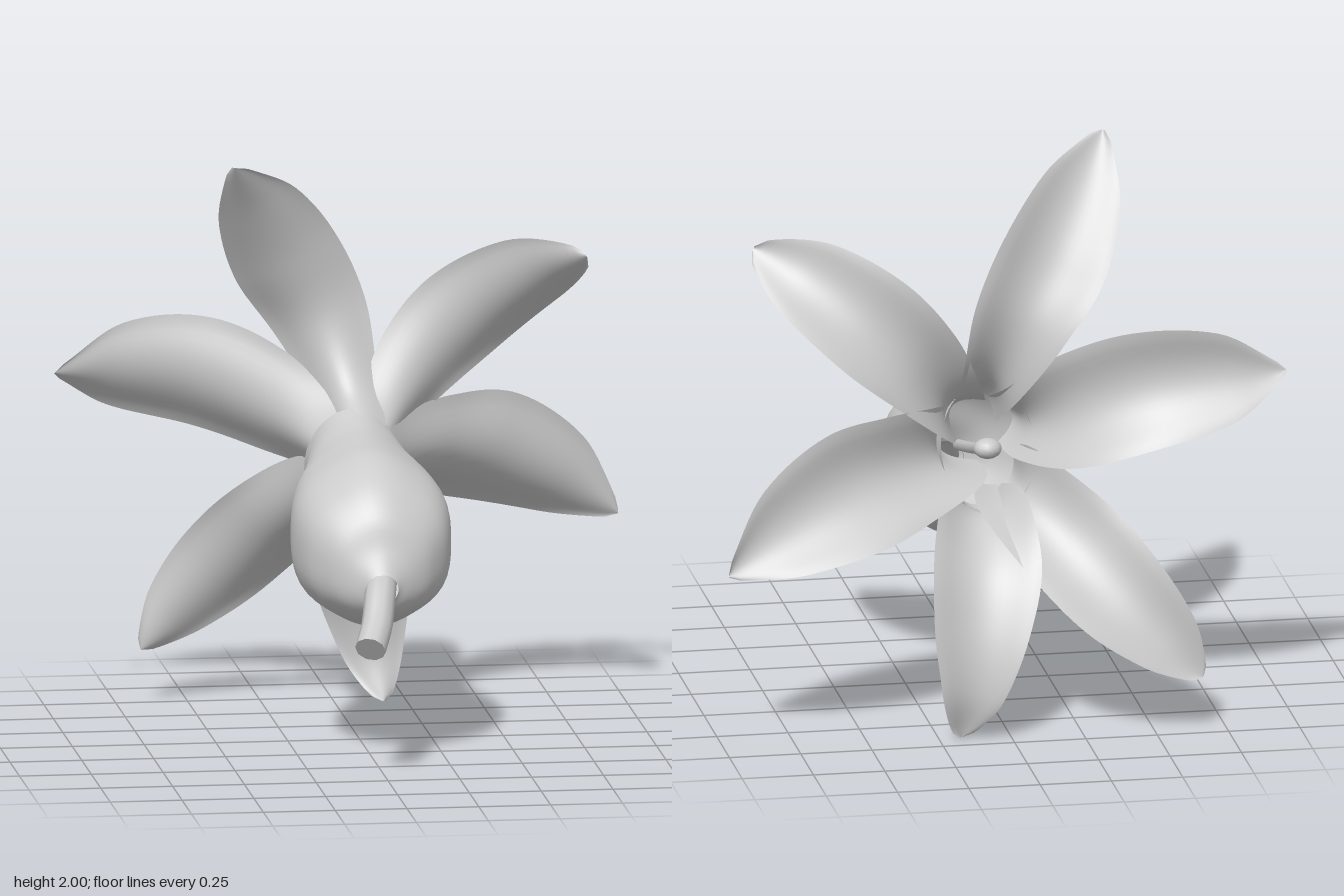
import * as THREE from 'three';

const material = new THREE.MeshStandardMaterial({ color: 0xcccccc, side: THREE.DoubleSide });
const V = (x, y, z) => new THREE.Vector3(x, y, z);
const smooth = (points) => new THREE.CatmullRomCurve3(points, false, 'centripetal');

// Smooth surface through rows x cols points; closed joins the last column to the first
function surface(name, rows, cols, pointAt, closed) {
  const positions = [], index = [];
  const stride = closed ? cols : cols + 1;
  for (let i = 0; i <= rows; i++) {
    for (let j = 0; j < stride; j++) positions.push(...pointAt(i / rows, j / cols).toArray());
  }
  for (let i = 0; i < rows; i++) {
    for (let j = 0; j < cols; j++) {
      const k = closed ? (j + 1) % cols : j + 1;
      const a = i * stride + j, b = i * stride + k;
      index.push(a, b, a + stride, b, b + stride, a + stride);
    }
  }
  const geometry = new THREE.BufferGeometry();
  geometry.setAttribute('position', new THREE.Float32BufferAttribute(positions, 3));
  geometry.setIndex(index);
  geometry.computeVertexNormals();
  const mesh = new THREE.Mesh(geometry, material);
  mesh.name = name;
  return mesh;
}

// Swollen flower tube: [top z, top y, bottom z, bottom y, half width]
const SECTIONS = [
  [0.57, 0.69, 0.57, 0.59, 0.05],
  [0.53, 0.77, 0.54, 0.55, 0.10],
  [0.49, 0.88, 0.48, 0.51, 0.18],
  [0.40, 0.98, 0.38, 0.475, 0.255],
  [0.25, 1.05, 0.22, 0.455, 0.287],
  [0.08, 1.07, 0.05, 0.51, 0.265],
  [-0.05, 1.085, -0.10, 0.61, 0.21],
  [-0.14, 1.11, -0.25, 0.69, 0.175],
  [-0.19, 1.13, -0.38, 0.715, 0.165],
];

function createTube() {
  const top = smooth(SECTIONS.map((s) => V(0.01, s[1], s[0])));
  const bottom = smooth(SECTIONS.map((s) => V(0.01, s[3], s[2])));
  const width = new THREE.SplineCurve(SECTIONS.map((s, i) => new THREE.Vector2(i, s[4])));
  return surface('flowerTube', 40, 48, (u, v) => {
    const a = v * Math.PI * 2;
    const up = top.getPoint(u), down = bottom.getPoint(u);
    const centre = up.clone().add(down).multiplyScalar(0.5);
    // Six soft ridges along the body
    const ridge = 1 + 0.04 * Math.sin(Math.PI * u) * (Math.cos(6 * a) - 1) * 0.5;
    return centre.clone()
      .addScaledVector(up.sub(centre), Math.cos(a) * ridge)
      .add(V(Math.sin(a) * width.getPoint(u).y * ridge, 0, 0));
  }, true);
}

// Petals: midrib from throat to tip, half widths at the same stations, depth of the cup
const PETALS = [
  { name: 'upperPetal', cup: 0.55,
    rib: [[0.0, 1.07, -0.08], [-0.015, 1.18, -0.26], [-0.085, 1.40, -0.355], [-0.2, 1.6, -0.325], [-0.315, 1.81, -0.235], [-0.42, 2.0, -0.115]],
    half: [0.085, 0.105, 0.165, 0.19, 0.15, 0.06] },
  { name: 'upperLeftPetal', cup: 0.55,
    rib: [[0.1, 1.02, -0.08], [0.15, 1.09, -0.24], [0.27, 1.25, -0.345], [0.43, 1.405, -0.355], [0.63, 1.555, -0.28], [0.81, 1.65, -0.155]],
    half: [0.085, 0.11, 0.16, 0.185, 0.155, 0.08] },
  { name: 'leftPetal', cup: 0.6,
    rib: [[0.15, 0.88, -0.08], [0.19, 0.9, -0.27], [0.36, 0.9, -0.45], [0.56, 0.865, -0.56], [0.8, 0.765, -0.64], [0.99, 0.64, -0.69]],
    half: [0.1, 0.15, 0.195, 0.22, 0.165, 0.06] },
  { name: 'lowerLeftPetal', cup: 0.45,
    rib: [[0.05, 0.7, -0.2], [0.06, 0.7, -0.4], [0.075, 0.58, -0.58], [0.11, 0.38, -0.68], [0.14, 0.17, -0.705], [0.17, 0.005, -0.66]],
    half: [0.09, 0.15, 0.19, 0.165, 0.11, 0.06] },
  { name: 'lowerRightPetal', cup: 0.5,
    rib: [[-0.08, 0.77, -0.16], [-0.11, 0.75, -0.37], [-0.25, 0.625, -0.55], [-0.39, 0.475, -0.66], [-0.54, 0.325, -0.71], [-0.665, 0.195, -0.72]],
    half: [0.09, 0.15, 0.185, 0.175, 0.125, 0.06] },
  { name: 'rightPetal', cup: 0.55,
    rib: [[-0.11, 0.98, -0.08], [-0.15, 1.01, -0.26], [-0.28, 1.095, -0.43], [-0.5, 1.18, -0.525], [-0.77, 1.215, -0.54], [-0.995, 1.22, -0.5]],
    half: [0.085, 0.125, 0.195, 0.205, 0.16, 0.05] },
];

const AXIS = V(0, 0.28, -1).normalize();

function createPetal({ name, rib, half, cup }) {
  const curve = smooth(rib.map((p) => V(...p)));
  const widths = new THREE.SplineCurve(half.map((w, i) => new THREE.Vector2(i, w)));
  const across = AXIS.clone().cross(V(...rib[5]).sub(V(...rib[1]))).normalize();
  return surface(name, 40, 16, (u, v) => {
    const s = v * 2 - 1;
    // Rounded tip
    const w = widths.getPoint(u).y * Math.sqrt(1.01 - u ** 14);
    const inward = curve.getTangent(u).cross(across).normalize();
    // Deeply cupped at the throat, opening to a shallow cup with flattened rims
    const open = THREE.MathUtils.smoothstep(u, 0, 0.45);
    const depth = THREE.MathUtils.lerp(0.95, cup * (1.15 - 0.4 * u), open);
    const lift = w * depth * (s * s - 0.28 * open * s ** 6) + 0.008 * s ** 3 * Math.sin(u * 11);
    return curve.getPoint(u).addScaledVector(across, s * w).addScaledVector(inward, lift);
  }, false);
}

// Curved stalk with a cut end
function createStem() {
  const stem = new THREE.Group();
  stem.name = 'stem';
  const path = smooth([V(0.01, 0.66, 0.5), V(-0.005, 0.625, 0.58), V(-0.03, 0.535, 0.68), V(-0.063, 0.47, 0.765)]);
  const stalk = new THREE.Mesh(new THREE.TubeGeometry(path, 16, 0.054, 10), material);
  stalk.name = 'stalk';
  const end = new THREE.Mesh(new THREE.CircleGeometry(0.054, 10), material);
  end.name = 'cutEnd';
  end.position.copy(path.getPoint(1));
  end.quaternion.setFromUnitVectors(V(0, 0, 1), path.getTangent(1));
  stem.add(stalk, end);
  return stem;
}

// Pistil set deep in the throat
function createPistil() {
  const pistil = new THREE.Group();
  pistil.name = 'pistil';
  const path = smooth([V(0.01, 0.76, 0.3), V(0.01, 0.84, 0), V(0.015, 0.93, -0.3)]);
  const style = new THREE.Mesh(new THREE.TubeGeometry(path, 12, 0.02, 8), material);
  style.name = 'style';
  const stigma = new THREE.Mesh(new THREE.SphereGeometry(0.045, 14, 10), material);
  stigma.name = 'stigma';
  stigma.scale.set(1.1, 0.8, 1);
  stigma.position.copy(path.getPoint(1));
  pistil.add(style, stigma);
  return pistil;
}

export function createModel() {
  const flower = new THREE.Group();
  flower.name = 'flower';
  flower.add(createTube(), createStem(), createPistil(), ...PETALS.map(createPetal));
  return flower;
}
